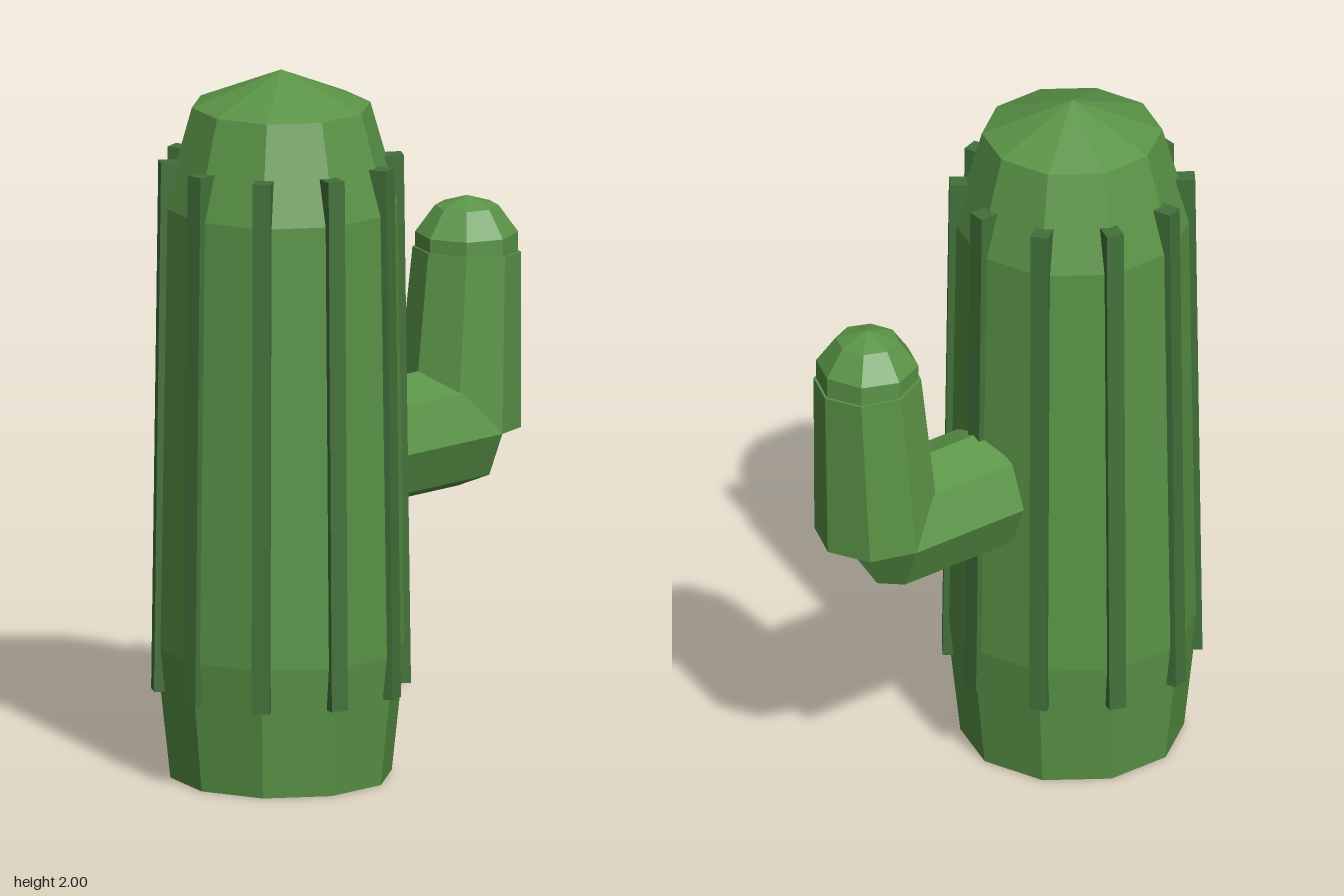
import * as THREE from 'three';

const TRUNK_X = -0.26;
const SIDES = 10;

export function createModel() {
  const model = new THREE.Group();
  model.name = 'cactus';

  const green = new THREE.MeshStandardMaterial({ color: 0x5a9447, flatShading: true });
  green.name = 'cactus green';
  const darkGreen = new THREE.MeshStandardMaterial({ color: 0x42713a, flatShading: true });
  darkGreen.name = 'rib dark green';

  const add = (name, geometry, material, x, y, z = 0) => {
    const mesh = new THREE.Mesh(geometry, material);
    mesh.name = name;
    mesh.position.set(x, y, z);
    model.add(mesh);
    return mesh;
  };

  // Ten-sided trunk with a tapered foot and pointed crown
  const profile = [[0, 0], [0.31, 0], [0.35, 0.37], [0.33, 1.62], [0.25, 1.9], [0, 2]]
    .map(([r, y]) => new THREE.Vector2(r, y));
  add('trunk', new THREE.LatheGeometry(profile, SIDES, Math.PI / 2), green, TRUNK_X, 0);

  // Ribs along the trunk corners, leaning inwards with the taper
  const ribGeometry = new THREE.BoxGeometry(0.06, 1.5, 0.05)
    .rotateZ(0.0133)
    .translate(0.32, 0, 0);
  for (let i = 0; i < SIDES; i++) {
    const rib = add('rib' + (i + 1), ribGeometry, darkGreen, TRUNK_X, 1);
    rib.rotation.y = (i / SIDES) * Math.PI * 2;
  }

  // Horizontal part of the arm
  const armBase = new THREE.CylinderGeometry(0.175, 0.175, 0.38, 8).rotateZ(-Math.PI / 2);
  add('armBase', armBase, green, 0.24, 0.88);

  // Upright part of the arm, leaning slightly outwards
  const foot = new THREE.Vector2(0.43, 0.88);
  const tip = new THREE.Vector2(0.465, 1.372);
  const upright = add('armUpright',
    new THREE.CylinderGeometry(0.15, 0.175, foot.distanceTo(tip), 8),
    green, (foot.x + tip.x) / 2, (foot.y + tip.y) / 2);
  upright.rotation.z = -Math.atan2(tip.x - foot.x, tip.y - foot.y);

  // Rounded tip of the arm
  add('armTip', new THREE.SphereGeometry(0.15, 8, 5), green, tip.x, tip.y + 0.003);

  return model;
}
